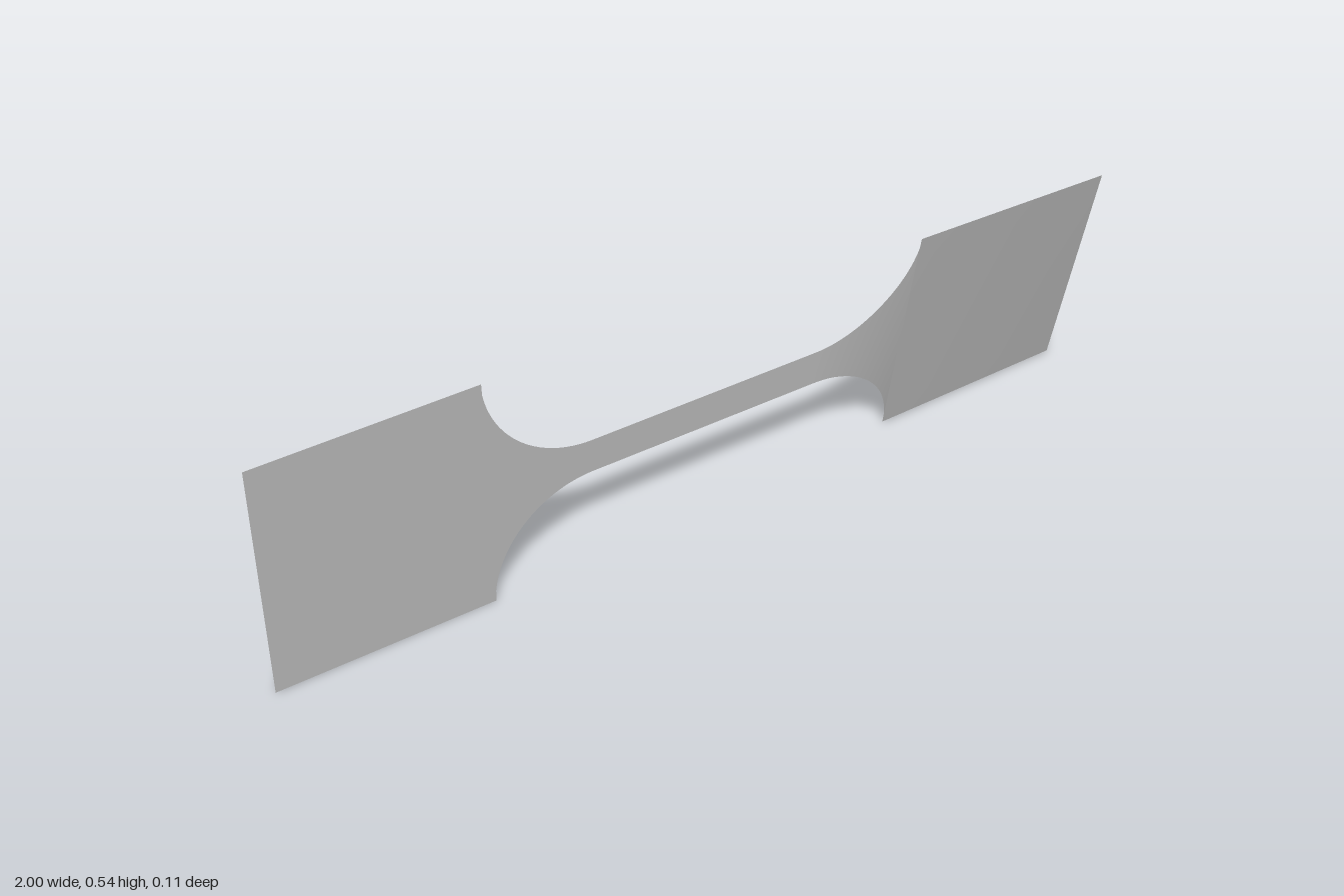
import * as THREE from 'three';

const PLATE = 0.27;      // half height of the end plates
const NECK = 0.039;      // half height of the neck
const FILLET = 0.24;     // radius of the cut-outs
const NECK_END = 0.272;  // where the fillets begin
const PLATE_START = 0.51;

// Half height of the outline at a distance from the middle
function halfHeight(d) {
  if (d <= NECK_END) return NECK;
  if (d >= PLATE_START) return PLATE;
  const run = Math.min(d - NECK_END, FILLET);
  return Math.min(PLATE, NECK + FILLET - Math.sqrt(FILLET * FILLET - run * run));
}

// Only the left end is twisted: quickly along the fillet, then slowly along the plate
function twist(x) {
  if (x <= NECK_END) return 0;
  const degrees = x < PLATE_START
    ? 10.2 * (x - NECK_END) / (PLATE_START - NECK_END)
    : 10.2 + 1.8 * (x - PLATE_START) / (1 - PLATE_START);
  return THREE.MathUtils.degToRad(degrees);
}

// Stations along one half; they crowd where the fillet gets steep
function stations() {
  const list = [0, 0.14];
  const steps = 24;
  for (let i = 0; i <= steps; i++) {
    list.push(NECK_END + (PLATE_START - NECK_END) * Math.sin((i / steps) * Math.PI / 2));
  }
  for (let i = 1; i <= 6; i++) list.push(PLATE_START + (1 - PLATE_START) * i / 6);
  return list;
}

export function createModel() {
  const group = new THREE.Group();
  group.name = 'twistedTestStrip';
  const grey = new THREE.MeshStandardMaterial({ color: 0xb4b4b4, side: THREE.DoubleSide });
  grey.name = 'grey';

  const half = stations();
  const xs = [...half.slice(1).reverse().map((x) => -x), ...half];
  const columns = xs.length;

  // Flat sheet shaped to the outline and twisted about its long axis
  const sheet = new THREE.PlaneGeometry(2, 2, columns - 1, 10);
  const pos = sheet.attributes.position;
  for (let i = 0; i < pos.count; i++) {
    const x = xs[i % columns];
    const s = pos.getY(i) * halfHeight(Math.abs(x));
    const a = twist(x);
    pos.setXYZ(i, x, PLATE + s * Math.cos(a), s * Math.sin(a));
  }
  sheet.computeVertexNormals();

  const strip = new THREE.Mesh(sheet, grey);
  strip.name = 'strip';
  group.add(strip);
  return group;
}
